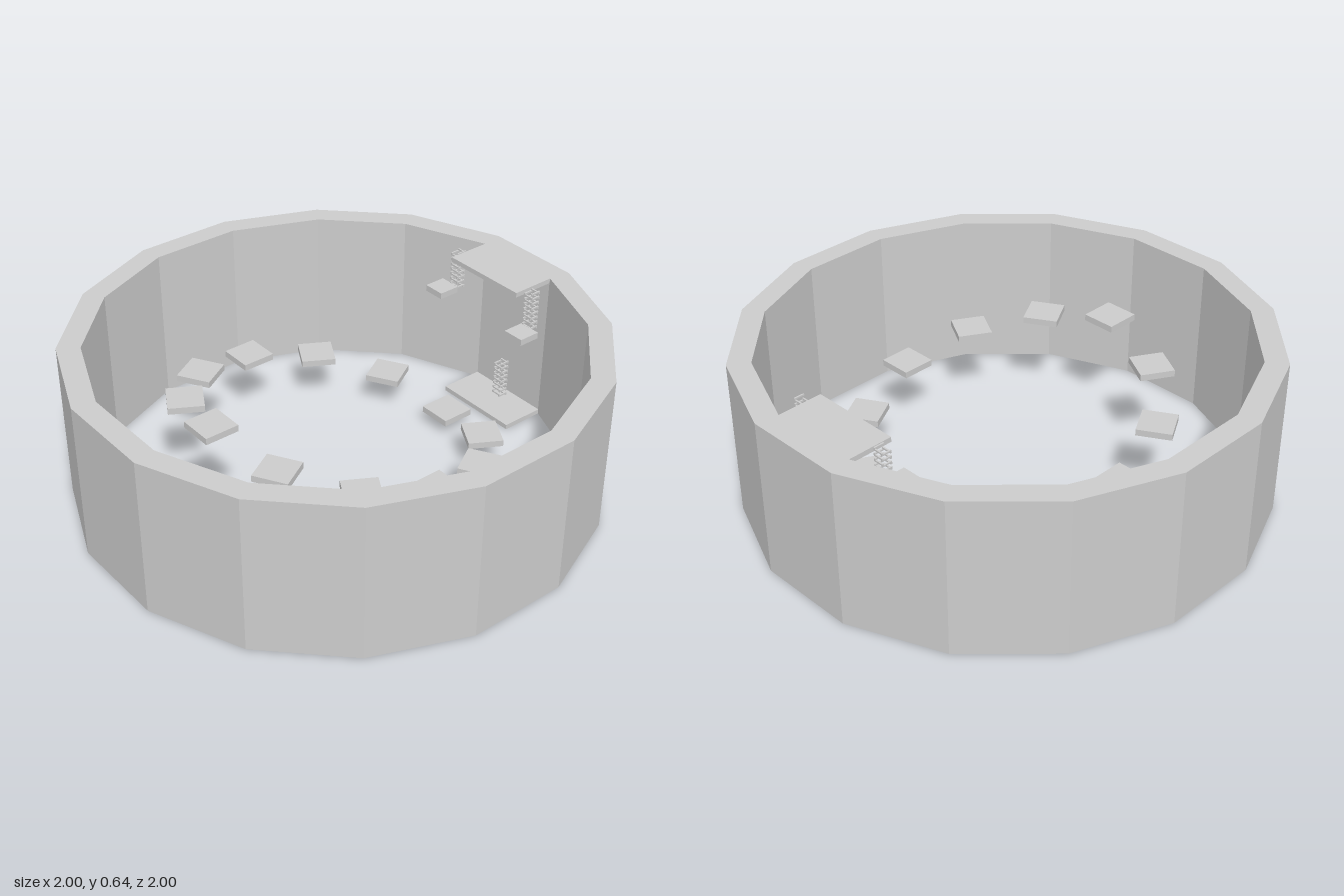
import * as THREE from 'three';

export function createModel() {
  const model = new THREE.Group();
  const stone = new THREE.MeshStandardMaterial({ color: 0xcccccc });
  stone.name = 'pale grey';

  const HEIGHT = 0.635, INNER = 0.912, SIDES = 16;

  function box(name, w, h, d, x, y, z, parent = model) {
    const mesh = new THREE.Mesh(new THREE.BoxGeometry(w, h, d), stone);
    mesh.name = name;
    mesh.position.set(x, y, z);
    parent.add(mesh);
    return mesh;
  }

  // Corners of a regular polygon whose flat sides face the axes
  function polygon(apothem) {
    const r = apothem / Math.cos(Math.PI / SIDES);
    return Array.from({ length: SIDES }, (_, i) => {
      const a = (i + 0.5) * 2 * Math.PI / SIDES;
      return new THREE.Vector2(r * Math.cos(a), r * Math.sin(a));
    });
  }

  // Sixteen-sided outer wall, open at top and bottom
  const ring = new THREE.Shape(polygon(1));
  ring.holes.push(new THREE.Path(polygon(INNER)));
  const wallGeometry = new THREE.ExtrudeGeometry(ring, { depth: HEIGHT, bevelEnabled: false });
  wallGeometry.rotateX(-Math.PI / 2);
  const wall = new THREE.Mesh(wallGeometry, stone);
  wall.name = 'outerWall';
  model.add(wall);

  // Floating steps, climbing both ways round to the side opposite the landings
  for (let i = 0; i < 12; i++) {
    const a = i * Math.PI / 6;
    const top = 0.077 + 0.0695 * Math.min(i, 12 - i);
    const step = box('floatingStep', 0.137, 0.026, 0.137,
      0.568 * Math.cos(a), top - 0.013, 0.568 * Math.sin(a));
    step.rotation.y = -a;
  }

  // Landings flush with the top and bottom of the wall
  const depth = INNER - 0.73;
  for (const [name, y] of [['upperLanding', HEIGHT - 0.01], ['lowerLanding', 0.01]]) {
    box(name, depth, 0.02, 0.366, 0.73 + depth / 2, y, 0);
  }

  // Square spiral of thin bars, four to a turn
  function spiral(name, x, z, bottom, top) {
    const group = new THREE.Group();
    group.name = name;
    const size = 0.042, bar = 0.006, rise = 0.0055;
    const offset = (size - bar) / 2;
    const count = Math.floor((top - bottom) / rise);
    for (let i = 0; i < count; i++) {
      const a = i * Math.PI / 2;
      const piece = box('spiralBar', bar, bar, size,
        x + offset * Math.cos(a), bottom + (i + 0.5) * rise, z + offset * Math.sin(a), group);
      piece.rotation.y = -a;
    }
    model.add(group);
  }

  // Hanging spirals and small ledges on both sides of the upper landing
  for (const s of [-1, 1]) {
    spiral('hangingSpiral', 0.79, s * 0.208, 0.47, HEIGHT);
    box('smallLedge', 0.09, 0.026, 0.09, 0.726, 0.473, s * 0.228);
  }

  // Short spiral standing on the lower landing
  spiral('standingSpiral', 0.865, 0, 0.02, 0.19);

  return model;
}
